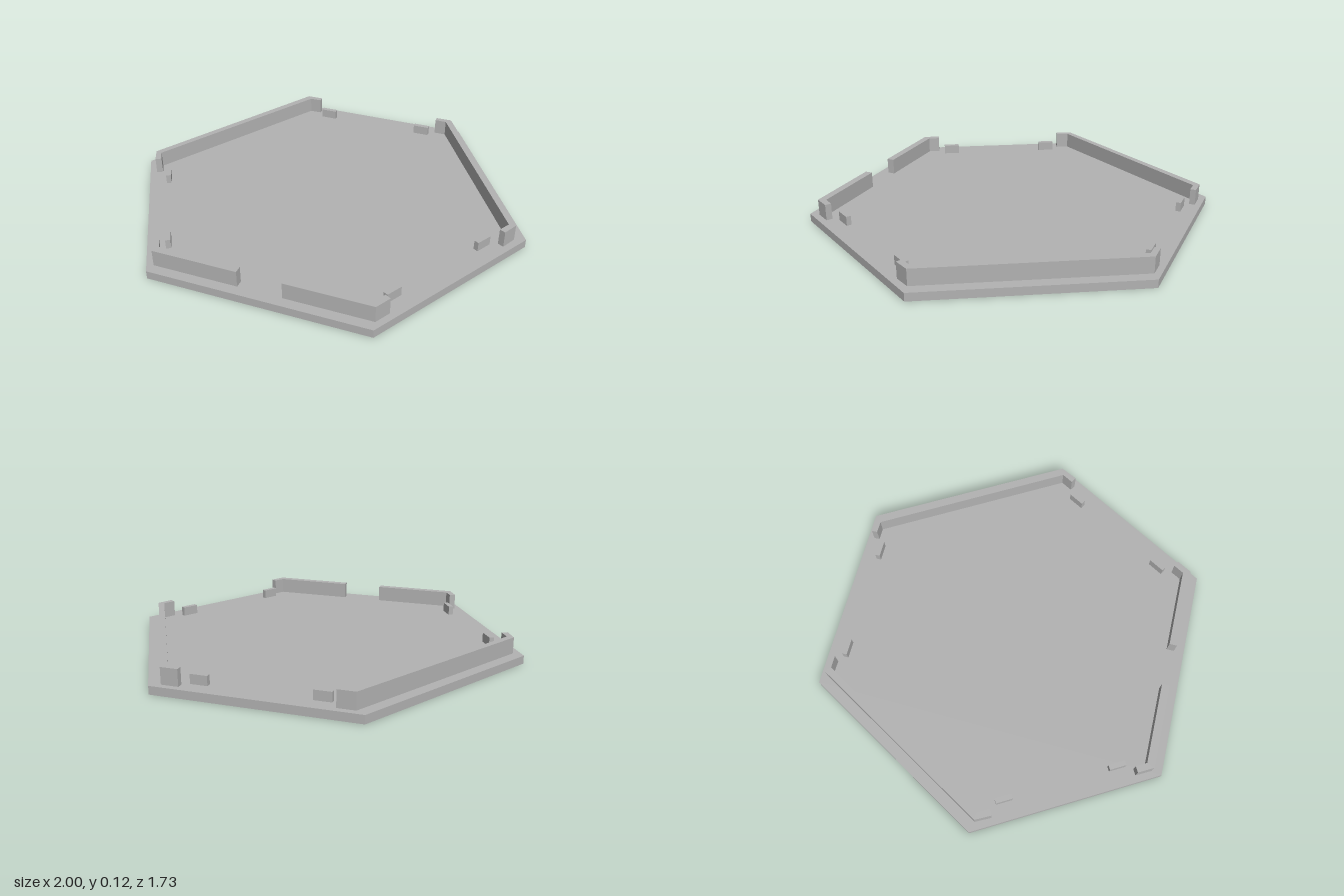
import * as THREE from 'three';

const grey = new THREE.MeshStandardMaterial({ color: 0xb2b2b2 });
grey.name = 'grey';

// Outline given as [x, z] points
const outline = (pts) => new THREE.Shape(pts.map(([x, z]) => new THREE.Vector2(x, -z)));

// Upright prism between heights y0 and y1
function prism(name, shape, y0, y1) {
  const geo = new THREE.ExtrudeGeometry(shape, { depth: y1 - y0, bevelEnabled: false });
  geo.rotateX(-Math.PI / 2);
  geo.translate(0, y0, 0);
  const mesh = new THREE.Mesh(geo, grey);
  mesh.name = name;
  return mesh;
}

export function createModel() {
  const model = new THREE.Group();
  model.name = 'hexagonalCover';
  const top = 0.04, recess = 0.018;

  // Plate: solid upper layer, lower layer pierced by the arrow recess
  const hex = [[1, 0.04], [0.477, -0.865], [-0.477, -0.865], [-1, 0.04], [-0.525, 0.862], [0.525, 0.862]];
  const arrow = [[0, -0.375], [0.16, -0.22], [0.08, -0.22], [0.08, -0.1],
    [-0.08, -0.1], [-0.08, -0.22], [-0.16, -0.22]];
  const lower = outline(hex);
  lower.holes.push(outline(arrow));
  model.add(prism('plate', outline(hex), recess, top));
  model.add(prism('plateWithArrowRecess', lower, 0, recess));

  // Plan outlines for the +x half
  const sideWall = [[0.35, -0.835], [0.433, -0.835], [0.947, 0.056], [0.91, 0.128],
    [0.883, 0.113], [0.914, 0.059], [0.409, -0.807], [0.35, -0.807]];
  const frontWall = [[0.105, 0.813], [0.516, 0.813], [0.556, 0.742],
    [0.529, 0.727], [0.501, 0.776], [0.105, 0.776]];

  // Small clip tab, turned to lie along its edge
  const tab = (cx, cz, angle) => {
    const c = Math.cos(angle), s = Math.sin(angle);
    return [[-0.041, -0.012], [0.041, -0.012], [0.041, 0.012], [-0.041, 0.012]]
      .map(([u, v]) => [cx + u * c - v * s, cz + u * s + v * c]);
  };
  const tabs = [tab(0.278, -0.776, 0), tab(0.817, 0.162, Math.PI * 2 / 3), tab(0.537, 0.646, Math.PI * 2 / 3)];

  // Mirror walls and tabs to both halves
  for (const [side, label] of [[1, 'left'], [-1, 'right']]) {
    const flip = (pts) => outline(pts.map(([x, z]) => [x * side, z]));
    model.add(prism(label + 'SideWall', flip(sideWall), top, 0.12));
    model.add(prism(label + 'FrontWall', flip(frontWall), top, 0.12));
    tabs.forEach((t, i) => model.add(prism(label + 'Tab' + (i + 1), flip(t), top, 0.086)));
  }
  return model;
}
